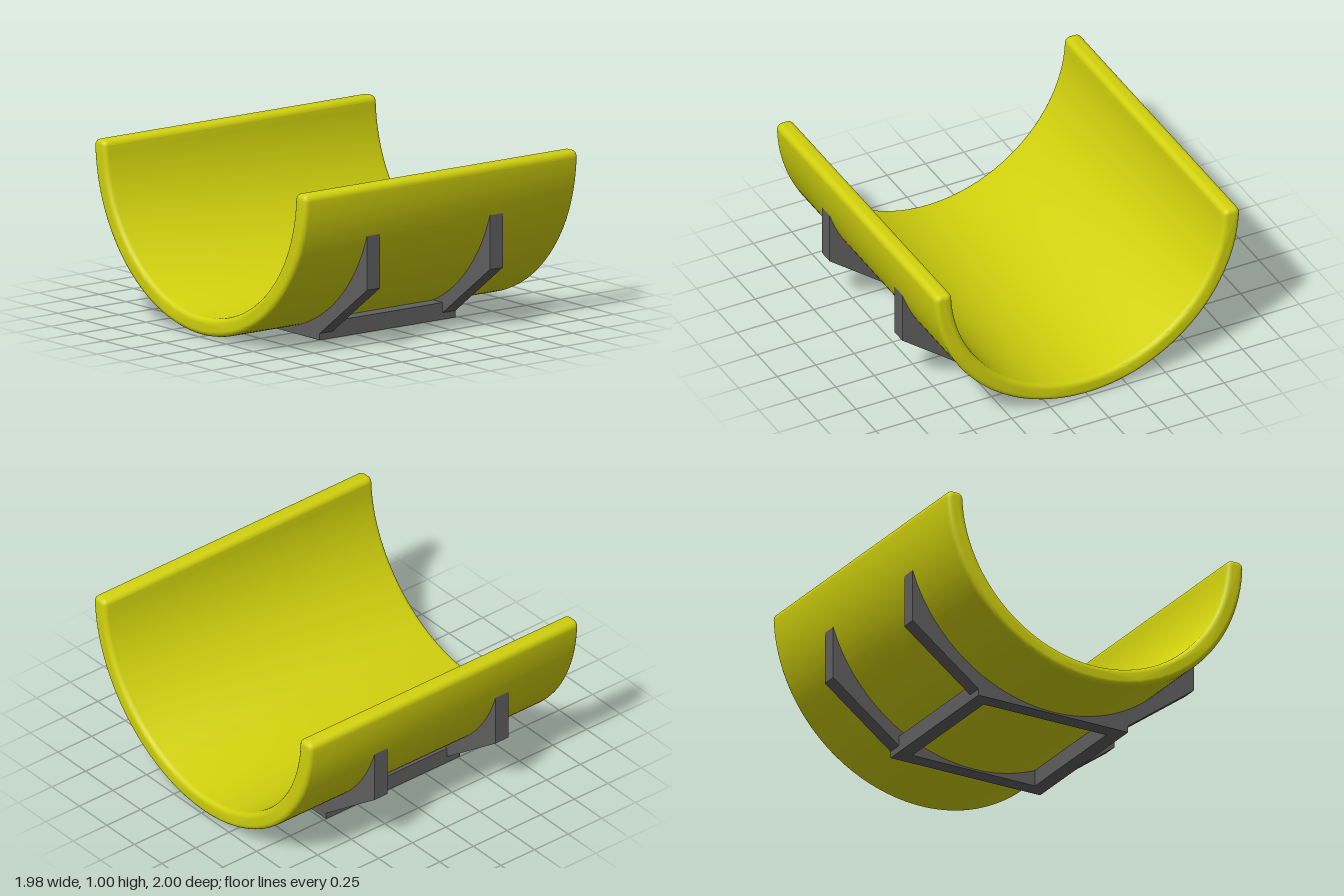
import * as THREE from 'three';
import { toCreasedNormals } from 'three/addons/utils/BufferGeometryUtils.js';

const R_OUT = 0.99, R_IN = 0.883, CENTRE_Y = 1, BEVEL = 0.03;

// Half-pipe with softly rounded edges
function troughGeometry() {
  const ro = R_OUT - BEVEL, ri = R_IN + BEVEL, top = -BEVEL, c = 0.01;
  const ao = Math.asin((c - top) / ro), ai = Math.asin((c - top) / ri);
  const xo = ro * Math.cos(ao), xi = ri * Math.cos(ai);
  const s = new THREE.Shape();
  s.absarc(0, 0, ro, Math.PI + ao, 2 * Math.PI - ao, false);
  s.quadraticCurveTo(xo, top, xo - c, top);
  s.lineTo(xi + c, top);
  s.quadraticCurveTo(xi, top, xi, top - c);
  s.absarc(0, 0, ri, 2 * Math.PI - ai, Math.PI + ai, true);
  s.quadraticCurveTo(-xi, top, -xi - c, top);
  s.lineTo(-xo + c, top);
  s.quadraticCurveTo(-xo, top, -xo, top - c);
  const depth = 2 - 2 * BEVEL;
  const g = new THREE.ExtrudeGeometry(s, {
    depth, curveSegments: 40, bevelEnabled: true,
    bevelSize: BEVEL, bevelThickness: BEVEL, bevelSegments: 4,
  });
  g.translate(0, CENTRE_Y, -depth / 2);
  return toCreasedNormals(g, 0.7);
}

// Upright plate with a flat foot, sloping flanks and a curved seat for the trough
function cradleGeometry(thickness) {
  const r = R_OUT - 0.008, x = 0.94, a = Math.acos(x / r);
  const s = new THREE.Shape();
  s.moveTo(-0.5, 0);
  s.lineTo(0.5, 0);
  s.lineTo(0.5, 0.04);
  s.lineTo(x, 0.37);
  s.lineTo(x, CENTRE_Y - r * Math.sin(a));
  s.absarc(0, CENTRE_Y, r, 2 * Math.PI - a, Math.PI + a, true);
  s.lineTo(-x, 0.37);
  s.lineTo(-0.5, 0.04);
  const g = new THREE.ExtrudeGeometry(s, { depth: thickness, curveSegments: 32, bevelEnabled: false });
  g.translate(0, 0, -thickness / 2);
  return toCreasedNormals(g, 0.3);
}

export function createModel() {
  const model = new THREE.Group();
  const yellow = new THREE.MeshStandardMaterial({ color: 0xd2d20e });
  const grey = new THREE.MeshStandardMaterial({ color: 0x606060 });
  const add = (name, geometry, material, parent) => {
    const mesh = new THREE.Mesh(geometry, material);
    mesh.name = name;
    parent.add(mesh);
    return mesh;
  };

  add('trough', troughGeometry(), yellow, model);

  // Supporting stand: two cradles joined by two low rails
  const stand = new THREE.Group();
  stand.name = 'stand';
  stand.position.z = 0.015;
  model.add(stand);
  const plate = cradleGeometry(0.095);
  const rail = new THREE.BoxGeometry(0.09, 0.1, 0.81);
  for (const [side, sign] of [['front', 1], ['back', -1]]) {
    add(side + 'Cradle', plate, grey, stand).position.z = sign * 0.45;
  }
  for (const [side, sign] of [['left', 1], ['right', -1]]) {
    add(side + 'Rail', rail, grey, stand).position.set(sign * 0.455, 0.05, 0);
  }
  return model;
}
